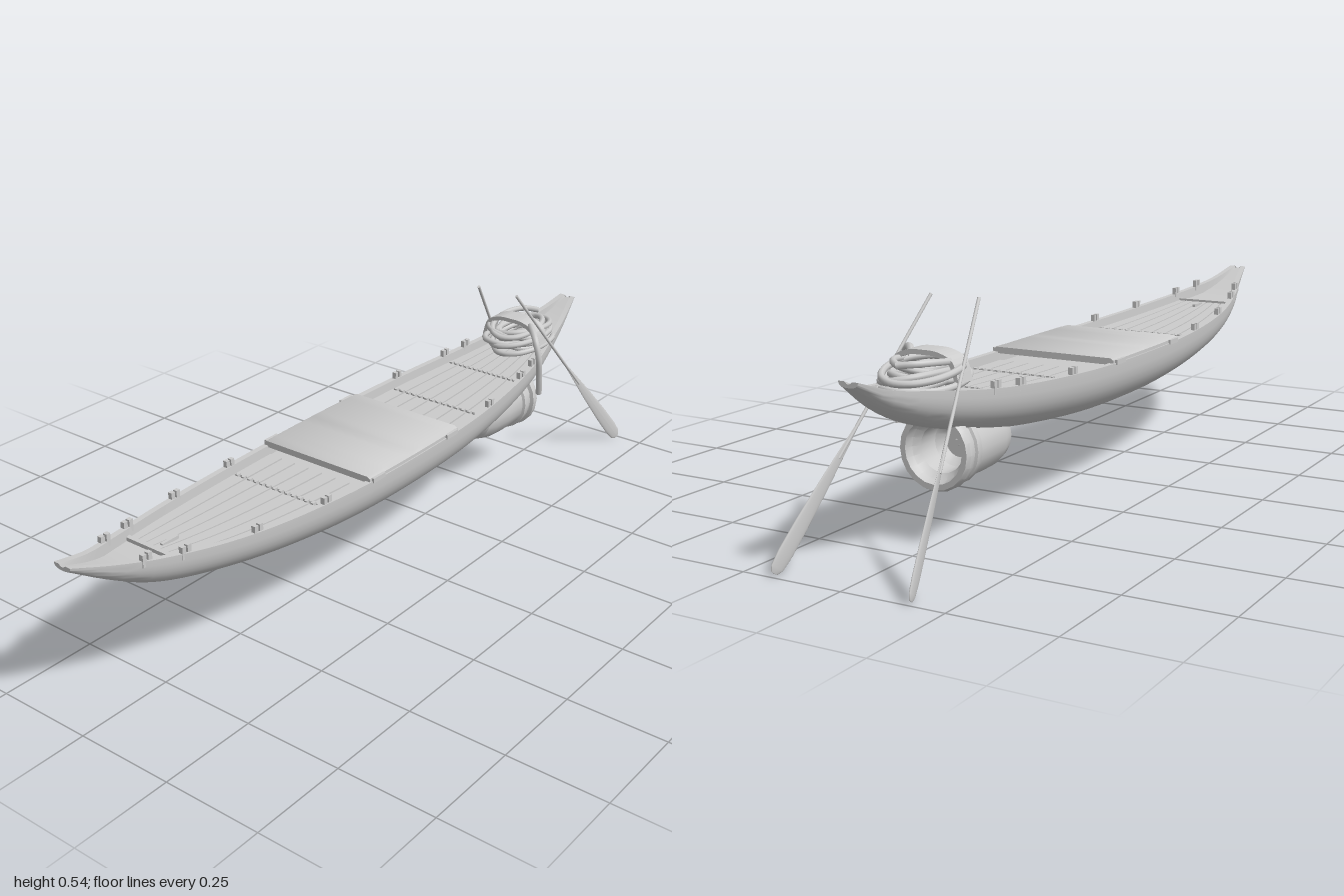
import * as THREE from 'three';
import { toCreasedNormals } from 'three/addons/utils/BufferGeometryUtils.js';

const material = new THREE.MeshStandardMaterial({ color: 0xcccccc });
const CZ = -0.009; // centre line of the boat

// Hull stations: x, and [half width, sheer height, keel height]
const stationX = [-1, -0.9, -0.8, -0.6, -0.3, 0, 0.3, 0.6, 0.78, 0.88, 0.965];
const stationV = [
  0.024, 0.425, 0.412, 0.048, 0.395, 0.348, 0.08, 0.376, 0.297, 0.128, 0.353, 0.25,
  0.163, 0.338, 0.212, 0.172, 0.335, 0.2, 0.162, 0.339, 0.212, 0.12, 0.355, 0.252,
  0.075, 0.379, 0.303, 0.047, 0.396, 0.352, 0.024, 0.425, 0.412,
];
const spline = new THREE.CubicInterpolant(stationX, stationV, 3, new Float32Array(3));
function station(x) {
  const [w, s, k] = spline.evaluate(x);
  const drop = Math.min(0.026, (s - k) * 0.4); // depth of the floor below the rim
  return { w, s, k, floor: s - drop, inner: Math.max(w - 0.015, 0.01) };
}

function add(parent, name, geometry, x = 0, y = 0, z = 0) {
  const mesh = new THREE.Mesh(geometry, material);
  mesh.name = name;
  mesh.position.set(x, y, z);
  parent.add(mesh);
  return mesh;
}

// Skin closed [z, y] sections placed along x, with capped ends
function loft(x0, x1, steps, section, crease = 0.6) {
  const pos = [], idx = [];
  let n = 0;
  for (let i = 0; i <= steps; i++) {
    const x = x0 + ((x1 - x0) * i) / steps;
    const ring = section(x);
    n = ring.length;
    for (const [z, y] of ring) pos.push(x, y, z + CZ);
  }
  for (let i = 0; i < steps; i++) {
    for (let j = 0; j < n; j++) {
      const a = i * n + j, d = i * n + ((j + 1) % n);
      idx.push(a, a + n, d + n, a, d + n, d);
    }
  }
  for (const [start, end] of [[0, false], [steps * n, true]]) {
    const c = pos.length / 3;
    let y = 0, z = 0;
    for (let j = 0; j < n; j++) {
      y += pos[(start + j) * 3 + 1] / n;
      z += pos[(start + j) * 3 + 2] / n;
    }
    pos.push(pos[start * 3], y, z);
    for (let j = 0; j < n; j++) {
      const a = start + j, b = start + ((j + 1) % n);
      if (end) idx.push(c, b, a);
      else idx.push(c, a, b);
    }
  }
  const g = new THREE.BufferGeometry();
  g.setAttribute('position', new THREE.Float32BufferAttribute(pos, 3));
  g.setIndex(idx);
  return toCreasedNormals(g, crease);
}

function hullSection(x) {
  const { w, s, k, floor, inner } = station(x);
  const ring = [];
  for (let i = 0; i <= 24; i++) {
    const t = (i / 24 - 0.5) * Math.PI;
    const z = Math.sign(t) * Math.abs(Math.sin(t)) ** 0.8 * w;
    ring.push([z, s - (s - k) * Math.max(0, Math.cos(t)) ** 0.8]);
  }
  ring.push([inner, s], [inner - 0.002, floor], [-inner + 0.002, floor], [-inner, s]);
  return ring;
}

function buildDeck(boat) {
  // Lengthwise floor slats in bays, with small ties across the joints
  const bays = [[-0.74, -0.345], [-0.335, -0.2], [0.16, 0.295], [0.305, 0.52], [0.53, 0.74]];
  const count = 7;
  for (const [x0, x1] of bays) {
    for (let j = 0; j < count; j++) {
      add(boat, 'floorSlat', loft(x0, x1, 10, (x) => {
        const { floor, inner } = station(x);
        const a = ((j + 0.06) / count * 2 - 1) * inner * 0.97;
        const b = ((j + 0.94) / count * 2 - 1) * inner * 0.97;
        return [[a, floor - 0.002], [b, floor - 0.002], [b, floor + 0.006], [a, floor + 0.006]];
      }));
    }
  }
  for (const x of [-0.34, 0.3, 0.525]) {
    const { floor, inner } = station(x);
    for (let j = 0; j < 14; j++) {
      const z = CZ + ((j + 0.5) / 14 * 2 - 1) * inner * 0.95;
      add(boat, 'slatTie', new THREE.BoxGeometry(0.012, 0.014, 0.008), x, floor + 0.003, z);
    }
  }
  add(boat, 'bowCrossbar', new THREE.BoxGeometry(0.012, 0.012, 0.17), -0.75, station(-0.75).floor + 0.004, CZ);
  add(boat, 'bowLash', new THREE.BoxGeometry(0.05, 0.008, 0.008), -0.7, station(-0.7).floor + 0.009, CZ);

  // Raised middle platform and its edge clamps
  add(boat, 'platform', loft(-0.2, 0.16, 10, (x) => {
    const w = station(x).w - 0.003;
    return [[-w, 0.332], [w, 0.332], [w, 0.343], [w - 0.008, 0.348], [-w + 0.008, 0.348], [-w, 0.343]];
  }));
  for (const side of [-1, 1]) {
    for (const x of [-0.17, 0.13]) {
      add(boat, 'platformClamp', new THREE.BoxGeometry(0.045, 0.012, 0.01), x, 0.338, CZ + side * (station(x).w - 0.002));
    }
    // Paired pegs on the rim
    for (const x of [-0.83, -0.74, -0.555, -0.345, 0.33, 0.52, 0.6]) {
      const { w, s } = station(x);
      for (const dx of [-0.008, 0.008]) {
        add(boat, 'rimPeg', new THREE.BoxGeometry(0.011, 0.03, 0.011), x + dx, s + 0.002, CZ + side * (w - 0.008));
      }
    }
  }
}

// Open barrel slung beneath the hull, mouth towards +x
function buildBarrel(boat) {
  const profile = [
    [0, 0], [0.055, 0], [0.068, 0.012], [0.077, 0.045], [0.08, 0.1], [0.08, 0.16], [0.087, 0.163],
    [0.087, 0.18], [0.081, 0.183], [0.081, 0.197], [0.091, 0.2], [0.091, 0.215], [0.086, 0.225],
    [0.073, 0.225], [0.068, 0.205], [0.055, 0.19], [0.052, 0.14], [0.036, 0.12], [0, 0.12],
  ].map(([r, h]) => new THREE.Vector2(r, h));
  const barrel = new THREE.Group();
  barrel.name = 'barrel';
  barrel.position.set(0.452, 0.217, CZ + 0.001);
  add(barrel, 'barrelShell', toCreasedNormals(new THREE.LatheGeometry(profile, 20).rotateZ(-Math.PI / 2), 0.5));
  add(barrel, 'barrelPlug', new THREE.CylinderGeometry(0.008, 0.008, 0.02, 12).rotateZ(Math.PI / 2), 0.125);
  boat.add(barrel);
}

function tube(points, radius, segments) {
  const curve = new THREE.CatmullRomCurve3(points.map((p) => new THREE.Vector3(...p)));
  return new THREE.TubeGeometry(curve, segments, radius, 8);
}

function buildRope(boat) {
  // Loose coil: a wandering spiral piled on the stern floor
  const coil = [], turns = 8, per = 12;
  for (let i = 0; i <= turns * per; i++) {
    const a = (i / per) * Math.PI * 2, u = i / (turns * per);
    const size = 0.84 + 0.16 * Math.sin(a * 0.37 + 1);
    coil.push([
      0.71 + 0.018 * Math.sin(a * 0.23) + 0.115 * size * Math.cos(a),
      0.362 + 0.06 * u + 0.01 * Math.sin(a * 1.3),
      CZ + 0.008 * Math.sin(a * 0.31) + 0.078 * size * Math.sin(a),
    ]);
  }
  add(boat, 'ropeCoil', tube(coil, 0.008, 400));
  // Free end hanging over the side
  add(boat, 'ropeEnd', tube([
    [0.69, 0.425, 0.03], [0.65, 0.436, 0.065], [0.615, 0.422, 0.1], [0.608, 0.375, 0.118],
    [0.62, 0.31, 0.115], [0.635, 0.258, 0.108],
  ], 0.009, 40));
  // Wide wrap over the coil
  const arch = new THREE.Shape();
  arch.moveTo(-0.09, 0.38);
  arch.splineThru([[-0.075, 0.425], [-0.04, 0.443], [0, 0.446], [0.04, 0.443], [0.075, 0.425], [0.09, 0.38]].map((p) => new THREE.Vector2(...p)));
  arch.lineTo(0.08, 0.38);
  arch.splineThru([[0.066, 0.418], [0.036, 0.433], [0, 0.435], [-0.036, 0.433], [-0.066, 0.418], [-0.08, 0.38]].map((p) => new THREE.Vector2(...p)));
  const wrap = new THREE.ExtrudeGeometry(arch, { depth: 0.055, bevelEnabled: false, curveSegments: 24 });
  add(boat, 'ropeWrap', toCreasedNormals(wrap.rotateY(Math.PI / 2), 0.5), 0.655, 0, CZ);
}

// Oar from handle tip to blade tip, blade standing in a vertical plane
function buildOar(boat, name, from, to) {
  const a = new THREE.Vector3(...from), d = new THREE.Vector3(...to).sub(a);
  const length = d.length();
  const oar = new THREE.Group();
  oar.name = name;
  oar.position.copy(a);
  oar.rotation.set(0, Math.atan2(-d.z, d.x), Math.asin(d.y / length), 'YXZ');
  add(oar, 'oarShaft', new THREE.CylinderGeometry(0.004, 0.004, length * 0.6, 10).rotateZ(Math.PI / 2), length * 0.3);
  const blade = new THREE.LatheGeometry([
    [0.004, 0.48], [0.008, 0.56], [0.014, 0.68], [0.019, 0.83], [0.02, 0.93], [0.017, 0.98], [0.009, 0.998], [0, 1],
  ].map(([r, t]) => new THREE.Vector2(r, t * length)), 16).rotateZ(-Math.PI / 2).scale(1, 1, 0.2);
  blade.computeVertexNormals();
  add(oar, 'oarBlade', blade);
  boat.add(oar);
}

export function createModel() {
  const boat = new THREE.Group();
  boat.name = 'rowingBoat';
  add(boat, 'hull', loft(-1, 0.965, 64, hullSection));
  buildDeck(boat);
  buildBarrel(boat);
  buildRope(boat);
  buildOar(boat, 'leftOar', [0.59, 0.545, 0.048], [0.99, 0.008, 0.177]);
  buildOar(boat, 'rightOar', [0.59, 0.545, -0.075], [0.99, 0.008, -0.163]);
  return boat;
}
